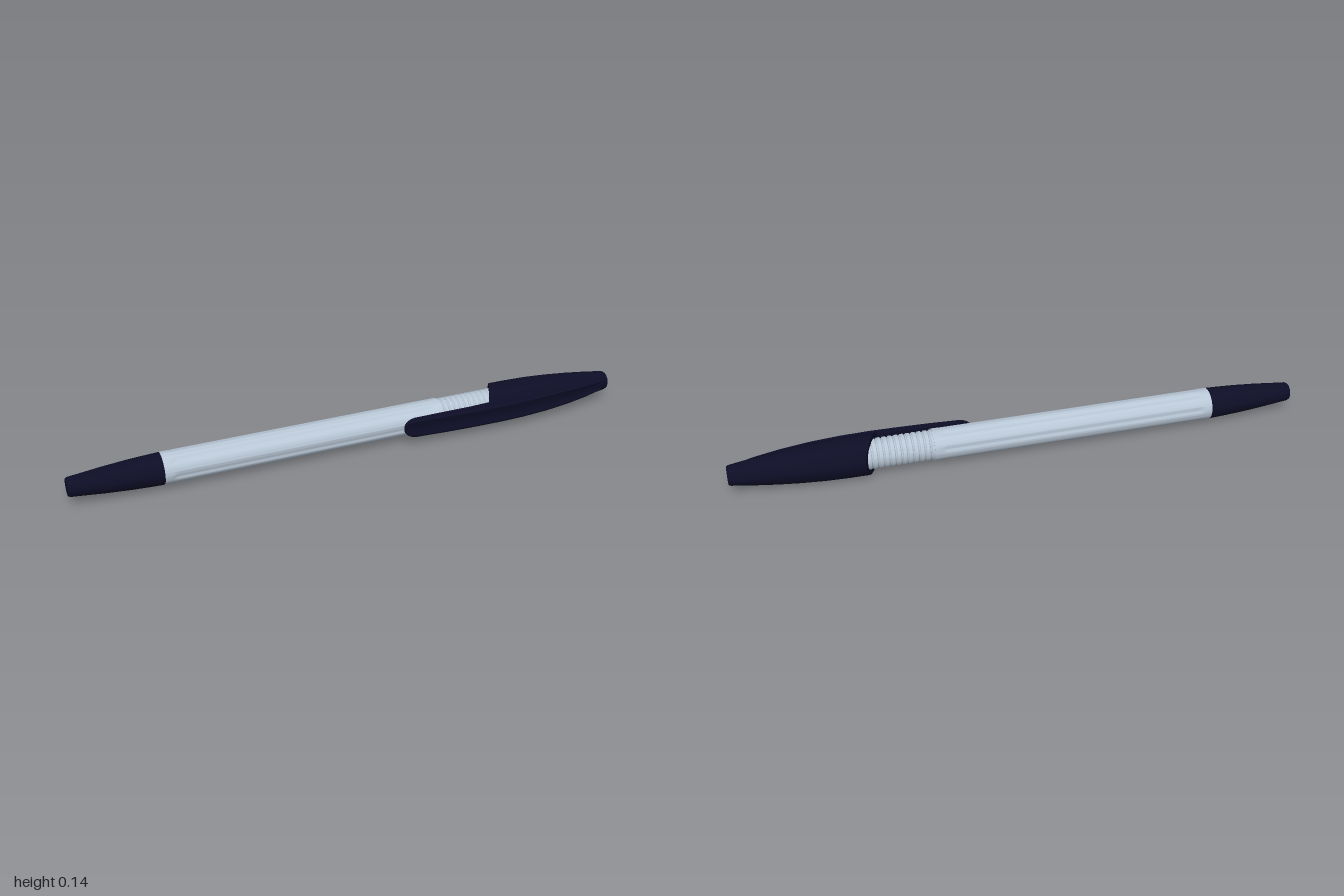
import * as THREE from 'three';
import { toCreasedNormals } from 'three/addons/utils/BufferGeometryUtils.js';

const CY = 0.0705, CZ = -0.0102; // pen axis, running along x
const SIDES = 32;

// Skin a list of rings (arrays of [x, y, z], ordered front -> up -> back) along +x and close both ends.
function loft(rings, crease = 0.6) {
  const pos = [];
  const tri = (a, b, c) => pos.push(...a, ...b, ...c);
  const n = rings[0].length;
  for (let i = 0; i < rings.length - 1; i++) {
    for (let j = 0; j < n; j++) {
      const k = (j + 1) % n;
      tri(rings[i][j], rings[i + 1][j], rings[i + 1][k]);
      tri(rings[i][j], rings[i + 1][k], rings[i][k]);
    }
  }
  const mid = (r) => [0, 1, 2].map((c) => r.reduce((s, p) => s + p[c], 0) / n);
  const first = rings[0], last = rings[rings.length - 1];
  for (let j = 0; j < n; j++) {
    const k = (j + 1) % n;
    tri(mid(first), first[j], first[k]);
    tri(mid(last), last[k], last[j]);
  }
  const g = new THREE.BufferGeometry();
  g.setAttribute('position', new THREE.Float32BufferAttribute(pos, 3));
  g.computeVertexNormals();
  return toCreasedNormals(g, crease);
}

// Ring round the pen axis; radius and x may depend on the angle.
function ring(xAt, rAt, sides = SIDES) {
  return Array.from({ length: sides }, (_, j) => {
    const a = (j / sides) * Math.PI * 2;
    const r = typeof rAt === 'function' ? rAt(a) : rAt;
    const z = CZ + r * Math.cos(a);
    return [typeof xAt === 'function' ? xAt(z) : xAt, CY + r * Math.sin(a), z];
  });
}

export function createModel() {
  const navy = new THREE.MeshStandardMaterial({ color: 0x0d0d26 });
  navy.name = 'navy plastic';
  const silver = new THREE.MeshStandardMaterial({ color: 0xb8c6d5 });
  silver.name = 'pale barrel';

  const pen = new THREE.Group();
  pen.name = 'pen';
  const add = (name, geometry, material) => {
    const m = new THREE.Mesh(geometry, material);
    m.name = name;
    pen.add(m);
  };

  // Tapered end piece
  const tail = [[-1, 0.029], [-0.993, 0.033], [-0.95, 0.037], [-0.88, 0.044],
    [-0.8, 0.05], [-0.73, 0.0535], [-0.685, 0.055]];
  add('endPiece', loft(tail.map(([x, r]) => ring(x, r))), navy);

  // Barrel with six shallow flutes that fade out at both ends
  const R = 0.0555, FLUTES = 6;
  const fluted = (depth) => (a) => {
    const t = ((a - 0.87) * FLUTES) / (Math.PI * 2);
    const d = Math.abs(t - Math.round(t)) * 2; // 0 in the middle of a flute
    return R - depth * Math.max(0, 1 - (d / 0.42) ** 2);
  };
  const barrel = [[-0.688, 0], [-0.66, 0], [-0.653, 0.0025], [-0.64, 0.004],
    [0.27, 0.004], [0.283, 0.0025], [0.29, 0], [0.312, 0]];
  add('barrel', loft(barrel.map(([x, d]) => ring(x, fluted(d), 96)), 0.7), silver);

  // Ribbed neck between barrel and cap
  const neck = [];
  for (let i = 0; i < 14; i++) {
    const x = 0.305 + i * 0.02;
    neck.push([x, 0.049], [x + 0.003, 0.0525], [x + 0.014, 0.0525], [x + 0.017, 0.049]);
  }
  add('ribbedNeck', loft(neck.map(([x, r]) => ring(x, r)), 0.5), silver);

  // Cap with slanted mouth
  const mouth = (z) => 0.485 + (0.058 - z) * 0.47;
  const cap = [[0.6, 0.0692], [0.68, 0.067], [0.76, 0.062], [0.84, 0.0545],
    [0.91, 0.046], [0.965, 0.0385], [0.993, 0.0345], [1, 0.031]];
  add('cap', loft([ring(mouth, 0.0695), ...cap.map(([x, r]) => ring(x, r))]), navy);

  // Clip: rounded tip, dished outer face, sinking into the cap. [x, half width, inner z, outer z]
  const clip = [[0.16, 0.008, 0.05, 0.057], [0.164, 0.017, 0.049, 0.059], [0.172, 0.025, 0.048, 0.061],
    [0.184, 0.031, 0.047, 0.064], [0.2, 0.0345, 0.047, 0.066], [0.3, 0.035, 0.047, 0.073],
    [0.42, 0.035, 0.047, 0.078], [0.52, 0.035, 0.042, 0.08], [0.62, 0.035, 0.03, 0.077],
    [0.72, 0.034, 0.02, 0.069], [0.82, 0.031, 0.015, 0.056], [0.9, 0.026, 0.01, 0.043],
    [0.97, 0.02, 0, 0.028]];
  add('clip', loft(clip.map(([x, w, zi, zo]) => {
    const dish = Math.min(0.006, (zo - zi) * 0.25);
    return [[0, zo - dish], [0.45, zo - dish * 0.5], [0.8, zo], [1, zo - dish * 0.7], [1, zi],
      [-1, zi], [-1, zo - dish * 0.7], [-0.8, zo], [-0.45, zo - dish * 0.5]]
      .map(([u, z]) => [x, CY + u * w, z]);
  })), navy);

  return pen;
}
